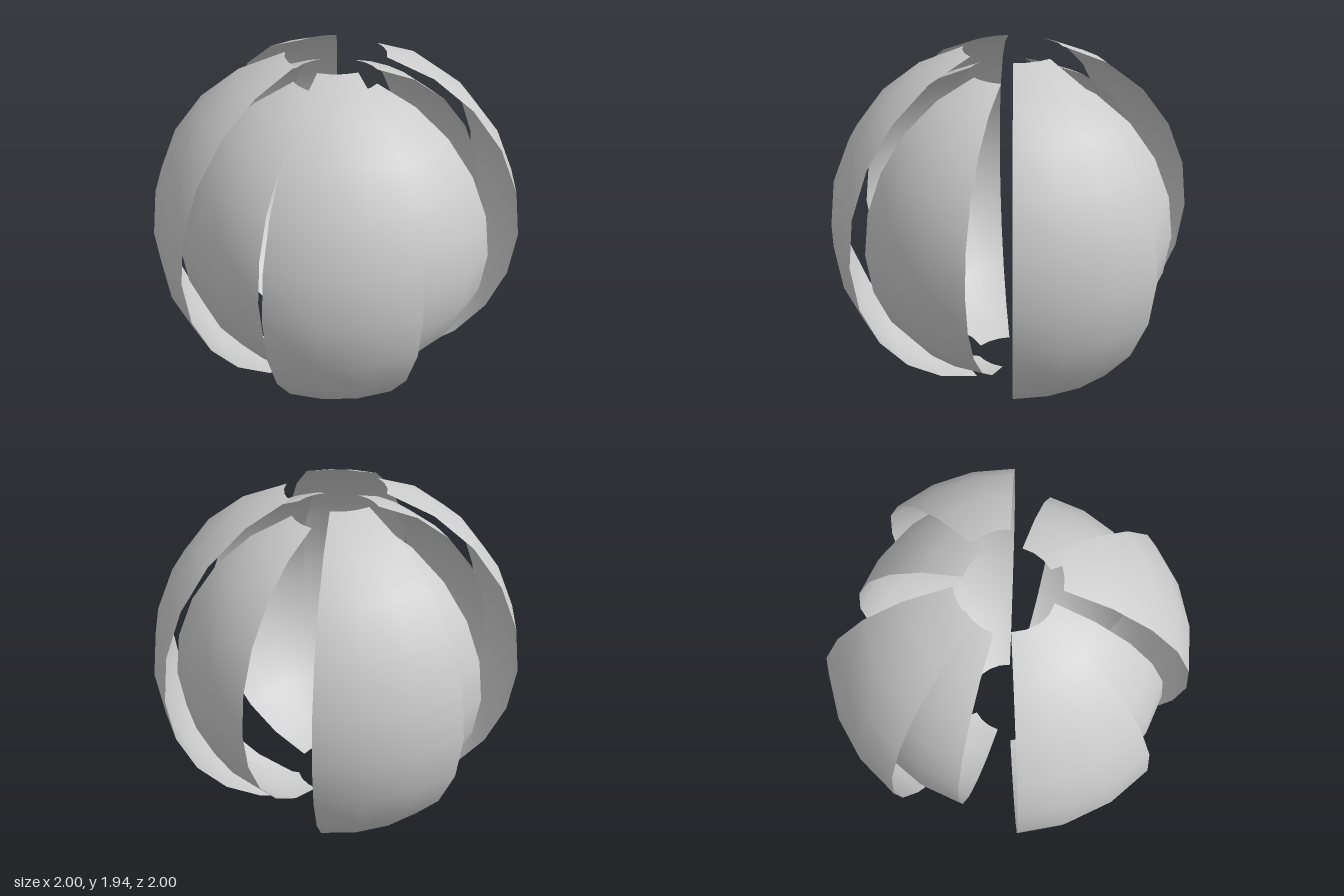
import * as THREE from 'three';

const OUTER_RADIUS = 1.002;
const INNER_RADIUS = 0.88;
const CENTRE_Y = OUTER_RADIUS * Math.cos(Math.PI / 12);
const rad = THREE.MathUtils.degToRad;

// One curved 45 degree panel, open at both poles; start is measured from +x towards +z
function panel(name, radius, start, material) {
  const geometry = new THREE.SphereGeometry(
    radius, 3, 10, rad(135 - start), rad(45), rad(15), rad(150));
  const mesh = new THREE.Mesh(geometry, material);
  mesh.name = name;
  return mesh;
}

export function createModel() {
  const model = new THREE.Group();
  model.name = 'segmentedSphere';
  const material = new THREE.MeshStandardMaterial({ color: 0xcccccc, side: THREE.DoubleSide });

  // Outer shell: four unevenly spaced panels
  const outer = new THREE.Group();
  outer.name = 'outerShell';
  [-30, 70, 145, 230].forEach((start, i) =>
    outer.add(panel(`outerPanel${i + 1}`, OUTER_RADIUS, start, material)));

  // Inner shell: four panels a quarter turn apart
  const inner = new THREE.Group();
  inner.name = 'innerShell';
  [-60, 30, 120, 210].forEach((start, i) =>
    inner.add(panel(`innerPanel${i + 1}`, INNER_RADIUS, start, material)));

  model.add(outer, inner);
  for (const shell of model.children) shell.position.set(-0.002, CENTRE_Y, 0);
  return model;
}
